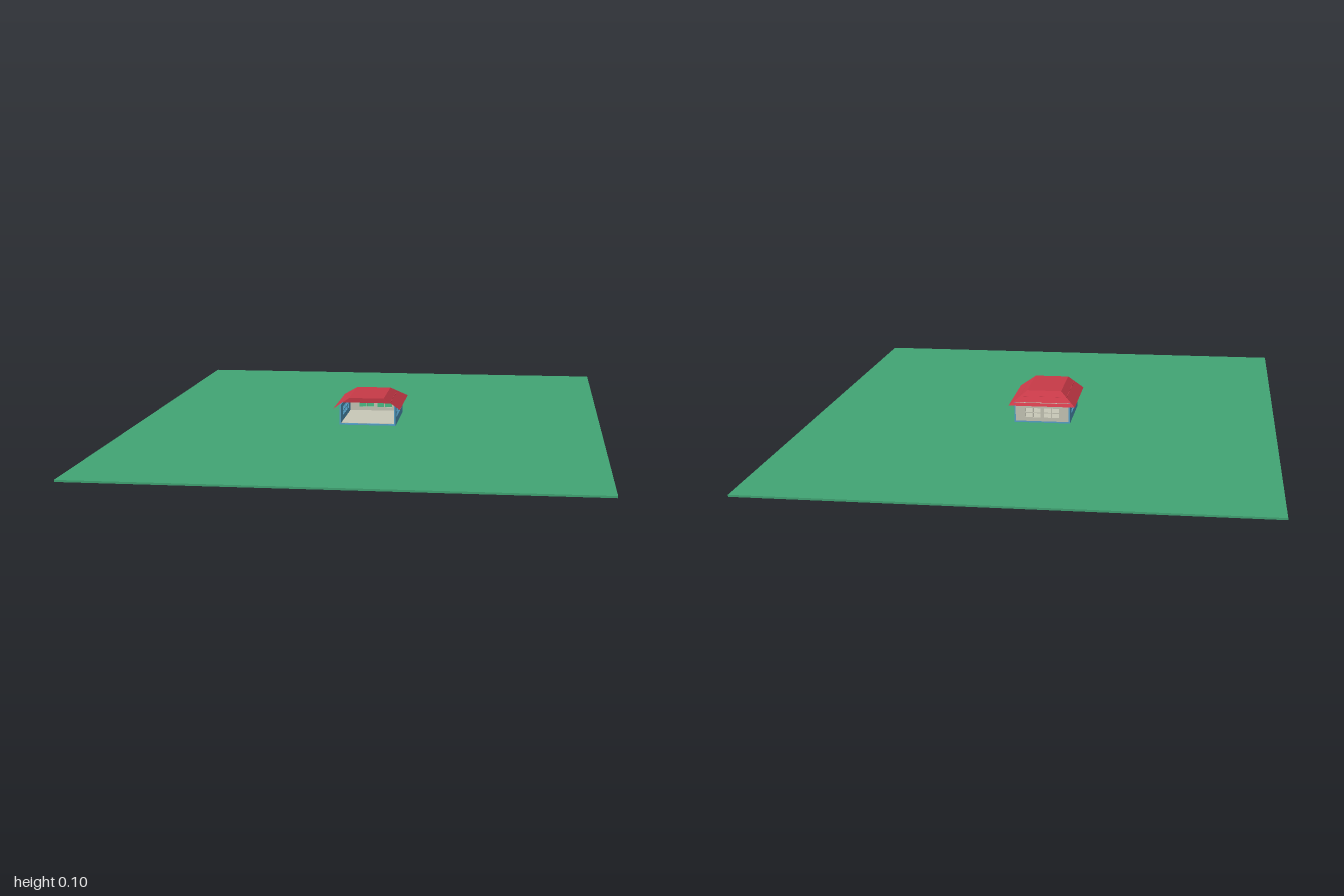
import * as THREE from 'three';

const mat = (name, color, side = THREE.FrontSide) => {
  const m = new THREE.MeshStandardMaterial({ color, side });
  m.name = name;
  return m;
};

export function createModel() {
  const group = new THREE.Group();
  const green = mat('grass green', 0x42a675);
  const red = mat('roof red', 0xc83a48, THREE.DoubleSide);
  const blue = mat('wall blue', 0x58a4cc);
  const beige = mat('plaster beige', 0xc9c9b9);

  const add = (name, geo, material, x = 0, y = 0, z = 0) => {
    const mesh = new THREE.Mesh(geo, material);
    mesh.name = name;
    mesh.position.set(x, y, z);
    group.add(mesh);
    return mesh;
  };
  const box = (name, m, w, h, d, x, y, z) => add(name, new THREE.BoxGeometry(w, h, d), m, x, y, z);

  // wall panel with two windows, each cut into a grid of panes
  const T = 0.005;
  const wall = (width, y0, y1, winY0, winY1, winWidth, gap, cols) => {
    const s = new THREE.Shape();
    s.moveTo(-width / 2, y0).lineTo(width / 2, y0).lineTo(width / 2, y1).lineTo(-width / 2, y1).closePath();
    const bar = 0.003, rows = 2;
    const pw = (winWidth - bar * (cols - 1)) / cols;
    const ph = (winY1 - winY0 - bar * (rows - 1)) / rows;
    for (const start of [-gap / 2 - winWidth, gap / 2]) {
      for (let c = 0; c < cols; c++) for (let r = 0; r < rows; r++) {
        const x = start + c * (pw + bar), y = winY0 + r * (ph + bar);
        const hole = new THREE.Path();
        hole.moveTo(x, y).lineTo(x, y + ph).lineTo(x + pw, y + ph).lineTo(x + pw, y).closePath();
        s.holes.push(hole);
      }
    }
    return new THREE.ExtrudeGeometry(s, { depth: T, bevelEnabled: false });
  };

  // ground, base and floor
  box('ground', green, 1.56, 0.006, 2, 0, 0.003, 0);
  box('base', blue, 0.19, 0.006, 0.246, 0, 0.008, 0);
  box('floor', beige, 0.18, 0.001, 0.236, 0, 0.0115, 0);

  // walls: the front stays open
  add('backWall', wall(0.18, 0.011, 0.075, 0.024, 0.056, 0.052, 0.012, 2), beige, 0, 0, -0.123);
  for (const side of [-1, 1]) {
    const w = add(side > 0 ? 'leftWall' : 'rightWall',
      wall(0.246, 0.011, 0.075, 0.03, 0.06, 0.076, 0.01, 2), blue, side * (0.095 - T));
    w.rotation.y = side * Math.PI / 2;
  }

  // roof shell: flat top, two side slopes and a hipped back
  const E = 0.1125, R = 0.058, yE = 0.066, yR = 0.104, zF = 0.152;
  const zE = -0.137, zR = -0.068;
  const front = [[-E, yE, zF], [-R, yR, zF], [R, yR, zF], [E, yE, zF]];
  const back = [[-E, yE, zE], [-R, yR, zR], [R, yR, zR], [E, yE, zE]];
  const pos = [];
  const quad = (a, b, c, d) => pos.push(...a, ...b, ...c, ...a, ...c, ...d);
  for (let i = 0; i < 3; i++) quad(front[i], front[i + 1], back[i + 1], back[i]);
  quad(back[0], back[1], back[2], back[3]);
  const roof = new THREE.BufferGeometry();
  roof.setAttribute('position', new THREE.Float32BufferAttribute(pos, 3));
  roof.computeVertexNormals();
  add('roof', roof, red);

  // gable panel and ceiling in the upper part of the roof
  const g = new THREE.Shape();
  g.moveTo(-0.08, 0.088).lineTo(0.08, 0.088).lineTo(R, yR - 0.0005).lineTo(-R, yR - 0.0005).closePath();
  add('gable', new THREE.ExtrudeGeometry(g, { depth: 0.003, bevelEnabled: false }), red, 0, 0, zF - 0.003);
  box('ceiling', red, 0.16, 0.002, 0.244, 0, 0.0885, 0.027);

  return group;
}
